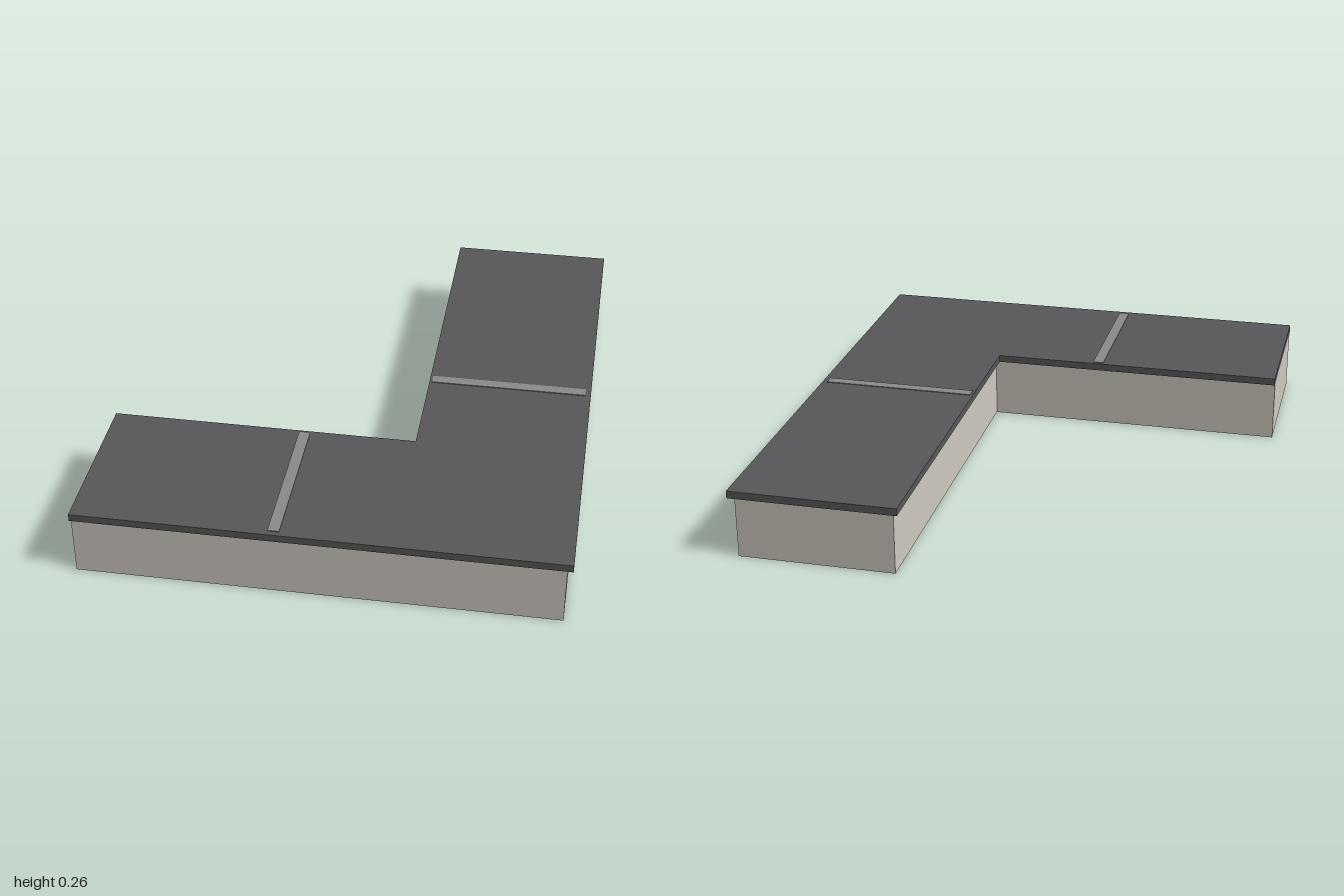
import * as THREE from 'three';

const material = (name, color) => {
  const m = new THREE.MeshStandardMaterial({ color });
  m.name = name;
  return m;
};

// L-shaped block: x0..x1 by z0..z1, with inner corner at (xi, zi)
function lBlock(name, mat, { x0, x1, xi, z0, z1, zi }, y, height) {
  const plan = [[x0, z1], [x1, z1], [x1, z0], [xi, z0], [xi, zi], [x0, zi]];
  const shape = new THREE.Shape(plan.map(([x, z]) => new THREE.Vector2(x, -z)));
  const geo = new THREE.ExtrudeGeometry(shape, { depth: height, bevelEnabled: false });
  geo.rotateX(-Math.PI / 2);
  const mesh = new THREE.Mesh(geo, mat);
  mesh.name = name;
  mesh.position.y = y;
  return mesh;
}

function plate(name, mat, w, d, x, z) {
  const mesh = new THREE.Mesh(new THREE.BoxGeometry(w, 0.004, d), mat);
  mesh.name = name;
  mesh.position.set(x, 0.257, z);
  return mesh;
}

export function createModel() {
  const group = new THREE.Group();
  group.name = 'cornerCounter';
  const body = material('warm stone', 0xd0cbc2);
  const slab = material('charcoal', 0x58585a);
  const seam = material('mid grey', 0x8a8c8c);

  // Cabinet body, set back under the worktop
  group.add(lBlock('cabinetBase', body,
    { x0: -0.85, x1: 0.83, xi: 0.268, z0: -0.98, z1: 0.98, zi: 0.418 }, 0, 0.229));
  // Overhanging worktop
  group.add(lBlock('worktop', slab,
    { x0: -0.85, x1: 0.85, xi: 0.25, z0: -1, z1: 1, zi: 0.4 }, 0.229, 0.027));
  // Inlaid strips across each arm
  group.add(plate('frontArmStrip', seam, 0.04, 0.57, -0.15, 0.695));
  group.add(plate('backArmStrip', seam, 0.57, 0.04, 0.545, 0));
  return group;
}
